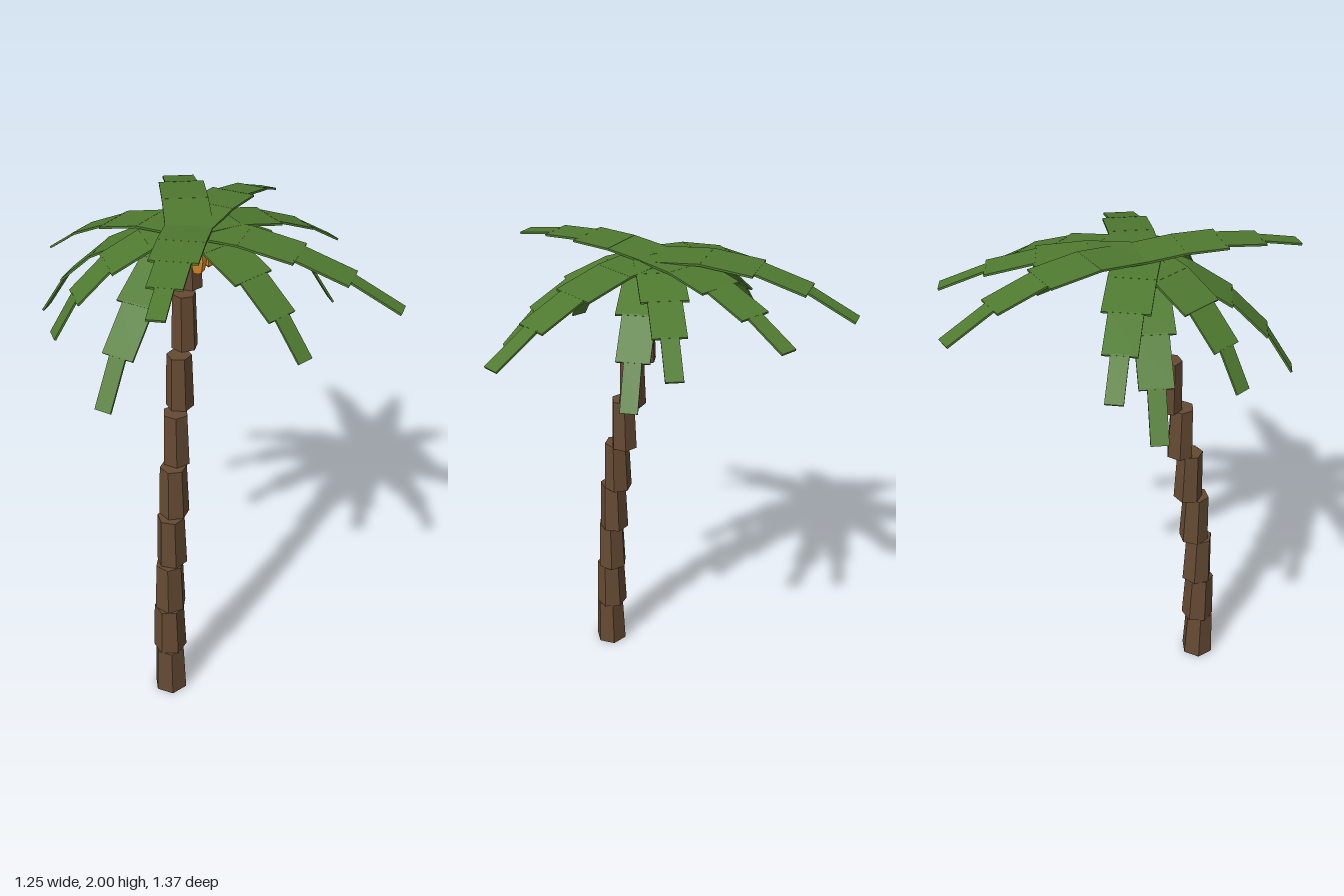
import * as THREE from 'three';

const mat = (color) => new THREE.MeshStandardMaterial({ color, flatShading: true });

export function createModel() {
  const model = new THREE.Group();
  const bark = mat(0x654a33), leaf = mat(0x4f7a30), orange = mat(0xe09028);

  function add(parent, name, geometry, material) {
    const mesh = new THREE.Mesh(geometry, material);
    mesh.name = name;
    parent.add(mesh);
    return mesh;
  }

  // Trunk: nine stacked six-sided pieces that lean, twist and narrow upwards [x, z]
  const trunk = new THREE.Group();
  trunk.name = 'trunk';
  model.add(trunk);
  const centres = [
    [-0.212, 0.355], [-0.21, 0.345], [-0.203, 0.334], [-0.191, 0.315], [-0.175, 0.286],
    [-0.158, 0.247], [-0.136, 0.198], [-0.109, 0.139], [-0.08, 0.085],
  ];
  const step = 0.2185;
  centres.forEach(([x, z], i) => {
    const r = 0.07 - i * 0.0028;
    const piece = add(trunk, 'trunkPiece', new THREE.CylinderGeometry(r * 0.88, r, step, 6), bark);
    piece.position.set(x, (i + 0.5) * step, z);
    piece.rotation.y = i * 0.4;
  });

  // Fronds: four thin straight sections each, bending down towards the tip
  // [direction x, direction z, section length, first pitch, bend per section] in degrees
  const fronds = [
    [0.035, -0.77, 0.198, 5, 10.3],
    [0.39, -0.59, 0.183, 2, 8],
    [0.585, -0.258, 0.17, -2, 10],
    [0.545, -0.08, 0.174, -8, 17],
    [0.687, 0.356, 0.202, -2, 8],
    [0.33, 0.476, 0.167, -7.5, 13],
    [-0.178, 0.593, 0.156, 5, 5.5],
    [-0.353, 0.458, 0.188, -18, 13],
    [-0.505, 0.098, 0.162, -10, 16],
    [-0.53, -0.27, 0.188, -14, 14.4],
    [-0.472, -0.418, 0.171, -5, 10.3],
  ];
  const widths = [0.17, 0.17, 0.122, 0.064];
  const crown = new THREE.Group();
  crown.name = 'crown';
  crown.position.set(-0.08, 1.976, 0.08);
  model.add(crown);
  for (const [dx, dz, length, pitch, bend] of fronds) {
    const frond = new THREE.Group();
    frond.name = 'frond';
    frond.rotation.y = Math.atan2(-dz, dx);
    crown.add(frond);
    let x = 0, y = 0;
    widths.forEach((width, i) => {
      const a = THREE.MathUtils.degToRad(pitch - i * bend);
      const section = add(frond, 'frondSection', new THREE.BoxGeometry(length + 0.006, 0.008, width), leaf);
      section.rotation.z = a;
      section.position.set(x + Math.cos(a) * length / 2, y + Math.sin(a) * length / 2, 0);
      x += Math.cos(a) * length;
      y += Math.sin(a) * length;
    });
  }

  // Pointed fruit hanging around the top of the trunk
  [[-0.148, 0.078], [-0.058, 0.142], [-0.012, 0.085]].forEach(([x, z], i) => {
    const fruit = add(model, 'fruit', new THREE.SphereGeometry(1, 5, 4), orange);
    fruit.scale.set(0.035, 0.066, 0.035);
    fruit.position.set(x, 1.88, z);
    fruit.rotation.y = i * 0.7;
  });

  return model;
}
